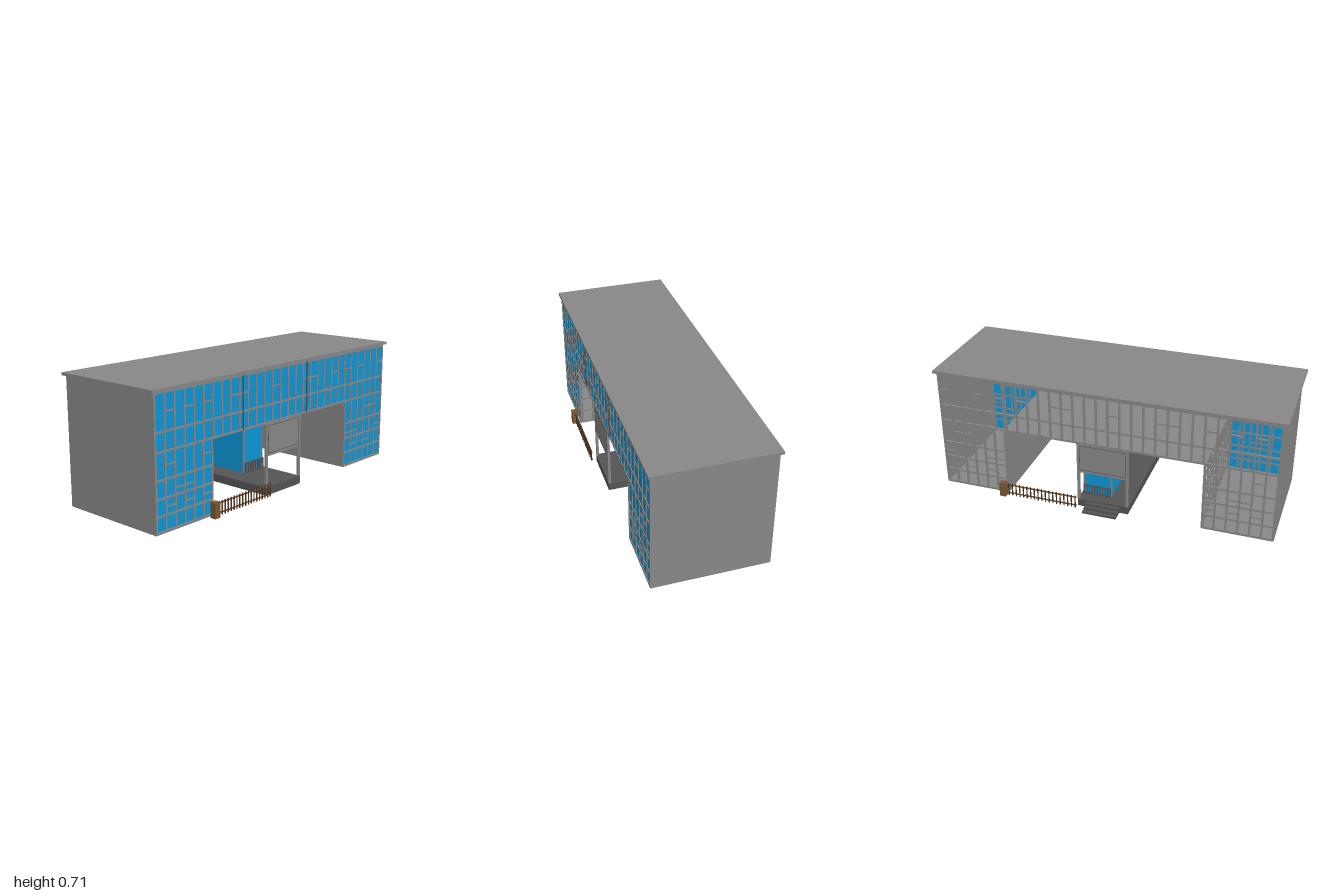
import * as THREE from 'three';
import { mergeGeometries } from 'three/addons/utils/BufferGeometryUtils.js';

const mat = (name, color, side = THREE.FrontSide) => {
  const m = new THREE.MeshStandardMaterial({ color, side });
  m.name = name;
  return m;
};

// Box geometry from its limits on each axis
function boxGeo(x0, x1, y0, y1, z0, z1) {
  return new THREE.BoxGeometry(x1 - x0, y1 - y0, z1 - z0)
    .translate((x0 + x1) / 2, (y0 + y1) / 2, (z0 + z1) / 2);
}

export function createModel() {
  const grey = mat('concreteGrey', 0x888888);
  const dark = mat('darkGrey', 0x545454);
  const glass = mat('blueGlass', 0x0d96d6, THREE.DoubleSide);
  const wood = mat('brownWood', 0x7a5633);
  const darkWood = mat('darkBrownWood', 0x4a3420);

  const model = new THREE.Group();
  model.name = 'building';
  const body = new THREE.Group();
  body.name = 'buildingBody';
  body.rotation.y = -0.0768;
  model.add(body);

  const add = (name, material, geos, parent = body) => {
    const mesh = new THREE.Mesh(Array.isArray(geos) ? mergeGeometries(geos) : geos, material);
    mesh.name = name;
    parent.add(mesh);
    return mesh;
  };

  const L = 0.958, W = 0.3225, TOP = 0.7, MID = 0.405;
  const OL = -0.562, OR = 0.567; // sides of the passage

  // Roof, end walls, floors
  add('roof', grey, boxGeo(-0.978, 0.978, TOP, 0.715, -0.3335, 0.3335));
  add('leftEndWall', grey, boxGeo(L - 0.012, L, 0, TOP, -W, W));
  add('rightEndWall', grey, boxGeo(-L, -L + 0.012, 0, TOP, -W, W));
  add('leftBayFloor', grey, boxGeo(OR, L - 0.012, 0, 0.01, -W, W));
  add('rightBayFloor', grey, boxGeo(-L + 0.012, OL, 0, 0.01, -W, W));
  add('upperFloor', grey, boxGeo(OL, OR, MID - 0.005, MID + 0.005, -W, W));
  add('leftPassageWall', grey, boxGeo(OR, OR + 0.01, 0, MID, -W + 0.012, W - 0.012));

  // Irregular window grid: full rows, column bars and short bars in some columns
  const T = 0.0105;
  function gridBars(x0, x1, rows, n, shorts, phase = 0) {
    const geos = [], d = (x1 - x0 - T) / n, y0 = rows[0], y1 = rows[rows.length - 1];
    rows.forEach((y) => geos.push(boxGeo(x0, x1, y, y + T, -0.006, 0.006)));
    for (let i = 0; i <= n; i++) {
      geos.push(boxGeo(x0 + i * d, x0 + i * d + T, y0, y1 + T, -0.0055, 0.0055));
    }
    for (let i = 0; i < n; i++) {
      shorts.forEach((s, k) => {
        if ((i + phase + k * 2) % 4 === 1 || (i + phase + k) % 5 === 3) {
          geos.push(boxGeo(x0 + i * d, x0 + (i + 1) * d, s, s + T * 0.8, -0.005, 0.005));
        }
      });
    }
    return geos;
  }
  const lowRows = [0.003, 0.083, 0.17, 0.262, MID - 0.004];
  const highRows = [MID - 0.004, 0.498, 0.687];
  const lowShorts = [0.125, 0.205, 0.335], highShorts = [0.595];
  for (const [name, z] of [['front', W - 0.006], ['back', -W + 0.006]]) {
    add(name + 'UpperFrames', grey, gridBars(-L, L, highRows, 29, highShorts)).position.z = z;
    add(name + 'RightBayFrames', grey, gridBars(-L, OL, lowRows, 6, lowShorts)).position.z = z;
    add(name + 'LeftBayFrames', grey, gridBars(OR, L, lowRows, 6, lowShorts, 2)).position.z = z;
  }
  const side = add('rightPassageFrames', grey, gridBars(-W + 0.012, W - 0.012, lowRows, 9, lowShorts));
  side.rotation.y = Math.PI / 2;
  side.position.x = OL - 0.006;

  // Front glazing
  const gz0 = W - 0.008, gz1 = W - 0.005;
  add('upperGlass', glass, boxGeo(-L + 0.012, L - 0.012, MID, 0.697, gz0, gz1));
  add('rightBayGlass', glass, boxGeo(-L + 0.012, OL, 0.01, MID, gz0, gz1));
  add('leftBayGlass', glass, boxGeo(OR, L - 0.012, 0.01, MID, gz0, gz1));
  add('facadeSeams', dark, [-0.336, 0.196].map((x) =>
    boxGeo(x - 0.003, x + 0.003, MID, TOP, W - 0.004, W + 0.002)));

  // Central porch: base, corner posts, framed panels at both ends
  const porch = new THREE.Group();
  porch.name = 'porch';
  body.add(porch);
  const PL = -0.15, PR = 0.145;
  add('porchBase', dark, boxGeo(PL, PR, 0, 0.045, -W, W), porch);
  for (const s of [1, -1]) {
    const z = s * (W - 0.007);
    for (const x of [PL + 0.007, PR - 0.007]) {
      add('porchPost', grey, boxGeo(x - 0.007, x + 0.007, 0.045, MID, z - 0.007, z + 0.007), porch);
    }
    add('porchPanel', grey, boxGeo(PL, PR, 0.22, MID, z - 0.006, z + 0.006), porch);
    const zf = z + s * 0.0065;
    add('panelOutline', dark, [
      boxGeo(PL + 0.015, PR - 0.015, 0.235, 0.238, zf - 0.001, zf + 0.001),
      boxGeo(PL + 0.015, PR - 0.015, 0.387, 0.39, zf - 0.001, zf + 0.001),
      boxGeo(PL + 0.015, PL + 0.018, 0.235, 0.39, zf - 0.001, zf + 0.001),
      boxGeo(PR - 0.018, PR - 0.015, 0.235, 0.39, zf - 0.001, zf + 0.001),
    ], porch);
  }

  // Glazed lobby with low slatted rails
  const rx0 = -0.03, rx1 = 0.13, rz0 = -0.25, rz1 = 0.05;
  add('lobbyGlass', glass, boxGeo(rx0, rx1, 0.045, MID - 0.005, rz0, rz1), porch);
  add('lobbyCorners', grey, [rx0, rx1].flatMap((x) => [rz0, rz1].map((z) =>
    boxGeo(x - 0.004, x + 0.004, 0.045, MID - 0.005, z - 0.004, z + 0.004))), porch);
  for (const z of [rz0 - 0.012, rz1 + 0.012]) {
    const rail = [boxGeo(rx0, rx1, 0.1, 0.107, z - 0.004, z + 0.004),
      boxGeo(rx0, rx1, 0.05, 0.056, z - 0.004, z + 0.004)];
    for (let i = 0; i <= 10; i++) {
      const x = rx0 + 0.003 + i * 0.0154;
      rail.push(boxGeo(x - 0.003, x + 0.003, 0.045, 0.107, z - 0.003, z + 0.003));
    }
    add('lobbyRail', dark, rail, porch);
  }

  // Back steps
  for (let i = 0; i < 3; i++) {
    add('step', dark, boxGeo(-0.1, 0.095, 0, 0.036 - i * 0.012, -W - 0.023 * (i + 1), -W - 0.023 * i), porch);
  }

  // Picket fence with gate post, repeated half a turn round
  for (const [name, turn] of [['frontFence', 0], ['backFence', Math.PI]]) {
    const fence = new THREE.Group();
    fence.name = name;
    fence.rotation.y = turn;
    body.add(fence);
    const z = 0.348;
    add('fencePost', wood, boxGeo(-0.602, -0.566, 0, 0.085, 0.338, 0.372), fence);
    add('fenceRails', wood, [0.012, 0.064].map((y) =>
      boxGeo(-0.568, -0.144, y, y + 0.008, z - 0.002, z + 0.002)), fence);
    const pickets = [];
    for (let i = 0; i < 19; i++) {
      const x = -0.553 + i * 0.0224;
      pickets.push(boxGeo(x - 0.003, x + 0.003, 0.003, 0.08, z + 0.002, z + 0.006));
    }
    add('fencePickets', darkWood, pickets, fence);
  }
  return model;
}
